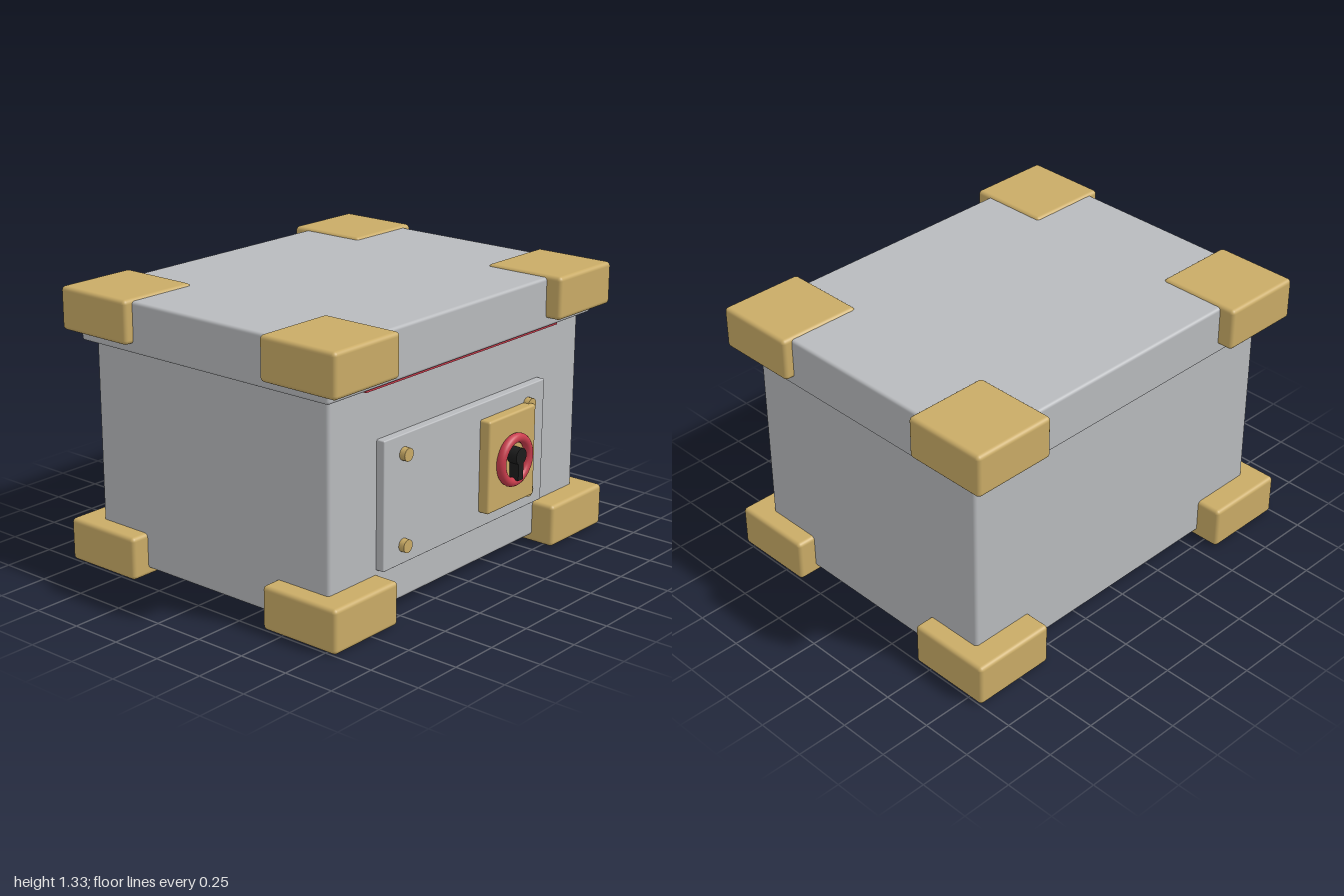
import * as THREE from 'three';
import { RoundedBoxGeometry } from 'three/addons/geometries/RoundedBoxGeometry.js';

export function createModel() {
  const model = new THREE.Group();
  model.name = 'strongbox';

  const material = (name, color) => {
    const m = new THREE.MeshStandardMaterial({ color });
    m.name = name;
    return m;
  };
  const steel = material('steel grey', 0xb8babd);
  const brass = material('brass', 0xc9ab66);
  const red = material('red', 0xc83c4c);
  const black = material('black', 0x1c1c1c);

  const add = (name, geometry, mat, x = 0, y = 0, z = 0) => {
    const mesh = new THREE.Mesh(geometry, mat);
    mesh.name = name;
    mesh.position.set(x, y, z);
    model.add(mesh);
    return mesh;
  };
  // Rounded box given by its two extreme corners
  const block = (name, mat, [x0, y0, z0], [x1, y1, z1], radius) =>
    add(name, new RoundedBoxGeometry(x1 - x0, y1 - y0, z1 - z0, 3, radius), mat,
      (x0 + x1) / 2, (y0 + y1) / 2, (z0 + z1) / 2);
  // Cylinder lying along z
  const disc = (name, mat, r, x, y, z0, z1, sides) => {
    const g = new THREE.CylinderGeometry(r, r, z1 - z0, sides).rotateX(Math.PI / 2);
    return add(name, g, mat, x, y, (z0 + z1) / 2);
  };

  // Box and overhanging lid
  block('body', steel, [-0.907, 0.04, -0.706], [0.907, 1.12, 0.687], 0.018);
  block('lid', steel, [-0.953, 1.083, -0.755], [0.953, 1.322, 0.728], 0.015);
  add('lidSeal', new THREE.BoxGeometry(1.39, 0.03, 0.04), red, 0, 1.088, 0.694);

  // Brass guards on all eight corners
  for (const sx of [-1, 1]) {
    for (const [z0, z1] of [[-0.83, -0.413], [0.388, 0.805]]) {
      for (const [name, y0, y1] of [['footGuard', 0.005, 0.212], ['lidGuard', 1.128, 1.333]]) {
        const x0 = sx < 0 ? -1 : 0.58;
        block(name, brass, [x0, y0, z0], [x0 + 0.42, y1, z1], 0.02);
      }
    }
  }

  // Front plate with four rivets
  block('frontPlate', steel, [-0.592, 0.233, 0.67], [0.587, 0.835, 0.728], 0.006);
  for (const x of [-0.457, 0.452])
    for (const y of [0.322, 0.746])
      disc('rivet', brass, 0.031, x, y, 0.72, 0.757, 16);

  // Lock: brass plate, red ring and keyhole
  const lockX = 0.27, lockY = 0.535;
  block('lockPlate', brass, [0.09, 0.31, 0.72], [0.45, 0.757, 0.782], 0.012);
  add('lockRing', new THREE.TorusGeometry(0.105, 0.023, 16, 40), red, lockX, lockY, 0.797);
  disc('keyholeTop', black, 0.04, lockX, 0.558, 0.775, 0.833, 20);
  add('keyholeSlot', new THREE.BoxGeometry(0.038, 0.11, 0.056), black, lockX, 0.498, 0.804);

  return model;
}
